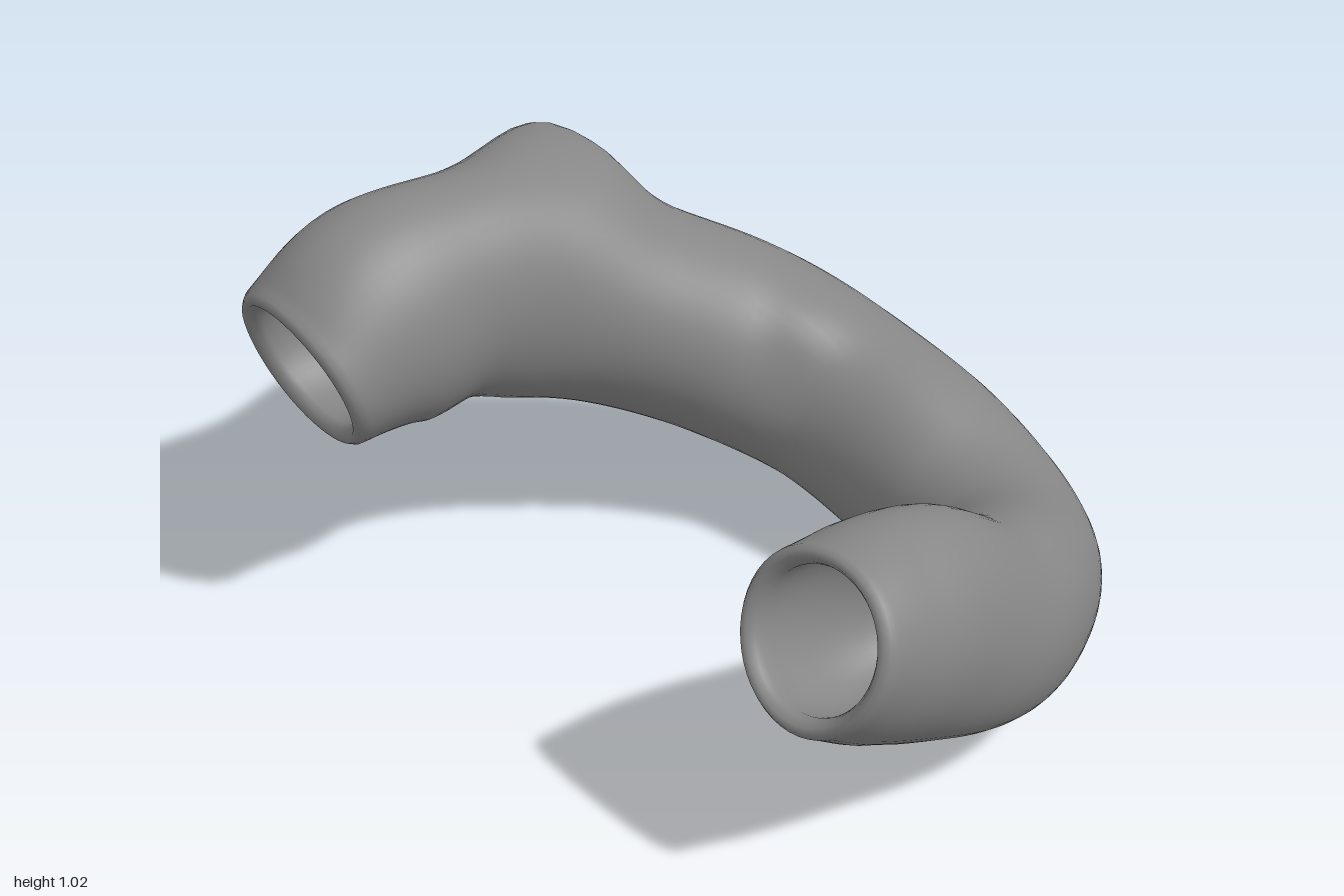
import * as THREE from 'three';

// Centre line stations: x, y, z, half width, half height
const STATIONS = [
  [0.715, 0.61, 0.685, 0.2, 0.203],
  [0.74, 0.57, 0.57, 0.205, 0.235],
  [0.765, 0.51, 0.42, 0.207, 0.257],
  [0.785, 0.39, 0.2, 0.21, 0.236],
  [0.765, 0.31, 0, 0.207, 0.232],
  [0.67, 0.235, -0.23, 0.215, 0.225],
  [0.5, 0.23, -0.4, 0.22, 0.22],
  [0.27, 0.28, -0.495, 0.23, 0.245],
  [0, 0.36, -0.53, 0.23, 0.245],
  [-0.24, 0.465, -0.45, 0.25, 0.25],
  [-0.435, 0.59, -0.27, 0.25, 0.26],
  [-0.57, 0.695, -0.08, 0.235, 0.285],
  [-0.65, 0.745, 0.12, 0.228, 0.275],
  [-0.71, 0.735, 0.32, 0.24, 0.275],
  [-0.765, 0.675, 0.495, 0.23, 0.21],
];

// Soft swellings of the outer wall: centre, push, reach
const SWELLINGS = [
  { at: [-0.68, 0.9, -0.21], push: [-0.07, 0.05, -0.12], reach: 0.16 },
  { at: [-0.5, 0.86, -0.25], push: [0, 0.04, -0.03], reach: 0.13 },
  { at: [-0.95, 0.7, 0.38], push: [-0.03, 0, 0], reach: 0.12 },
  { at: [0.0, 0.58, -0.42], push: [0, 0.02, 0.02], reach: 0.1 },
  { at: [0.38, 0.1, -0.6], push: [0, -0.025, -0.035], reach: 0.2 },
].map((s) => ({ at: new THREE.Vector3(...s.at), push: new THREE.Vector3(...s.push), reach: s.reach }));

const SIDES = 48;
const STEPS = 110;
const MOUTH = 0.77;
const LIP = [[0.98, 0.018], [0.93, 0.03], [0.86, 0.03], [0.8, 0.015]];

// Rows from the rim of one end, over the lip and down to the floor of its hollow
function mouthRows(end, inward, depth) {
  const rows = LIP.map(([scale, shift]) => ({ t: end, scale, shift: -inward * shift }));
  const count = 16;
  for (let i = 0; i <= count; i++) {
    const a = (i / count) * Math.PI / 2;
    rows.push({
      t: end + inward * depth * Math.sin(a),
      scale: MOUTH * Math.max(Math.sqrt(Math.cos(a)), 0.01),
      shift: 0,
    });
  }
  return rows;
}

function tubeGeometry() {
  const path = new THREE.CatmullRomCurve3(STATIONS.map((s) => new THREE.Vector3(s[0], s[1], s[2])), false, 'catmullrom', 0.5);
  const radii = new THREE.CatmullRomCurve3(STATIONS.map((s) => new THREE.Vector3(s[3], s[4], 0)), false, 'catmullrom', 0.5);

  // Rows run from one hollow, along the outside, into the other hollow
  const rows = mouthRows(0, 1, 0.17).reverse();
  for (let i = 0; i <= STEPS; i++) rows.push({ t: i / STEPS, scale: 1, shift: 0, outer: true });
  rows.push(...mouthRows(1, -1, 0.13));

  const up = new THREE.Vector3(0, 1, 0);
  const positions = [];
  const index = [];
  rows.forEach((row, r) => {
    const centre = path.getPoint(row.t);
    const size = radii.getPoint(row.t);
    const along = path.getTangent(row.t);
    const side = along.clone().cross(up).normalize();
    const rise = side.clone().cross(along);
    for (let j = 0; j < SIDES; j++) {
      const a = (j / SIDES) * Math.PI * 2;
      // Gentle unevenness around and along the wall
      const wobble = 1 + 0.012 * Math.sin(3 * a + 17 * row.t) + 0.008 * Math.sin(2 * a - 41 * row.t);
      const k = row.scale * wobble;
      const p = centre.clone()
        .addScaledVector(side, Math.cos(a) * size.x * k)
        .addScaledVector(rise, Math.sin(a) * size.y * k)
        .addScaledVector(along, row.shift);
      if (row.outer) {
        const base = p.clone();
        for (const s of SWELLINGS) {
          p.addScaledVector(s.push, Math.exp(-base.distanceToSquared(s.at) / (s.reach * s.reach)));
        }
      }
      positions.push(p.x, Math.max(p.y, 0), p.z);
      if (r === rows.length - 1) continue;
      const j2 = (j + 1) % SIDES;
      const [q, b, c, d] = [r * SIDES + j, (r + 1) * SIDES + j, r * SIDES + j2, (r + 1) * SIDES + j2];
      index.push(q, b, c, b, d, c);
    }
  });

  const geometry = new THREE.BufferGeometry();
  geometry.setAttribute('position', new THREE.Float32BufferAttribute(positions, 3));
  geometry.setIndex(index);
  geometry.computeVertexNormals();
  return geometry;
}

export function createModel() {
  const group = new THREE.Group();
  group.name = 'curvedTube';
  const tube = new THREE.Mesh(tubeGeometry(), new THREE.MeshStandardMaterial({ color: 0x868686 }));
  tube.name = 'tubeWithHollowEnds';
  group.add(tube);
  return group;
}
